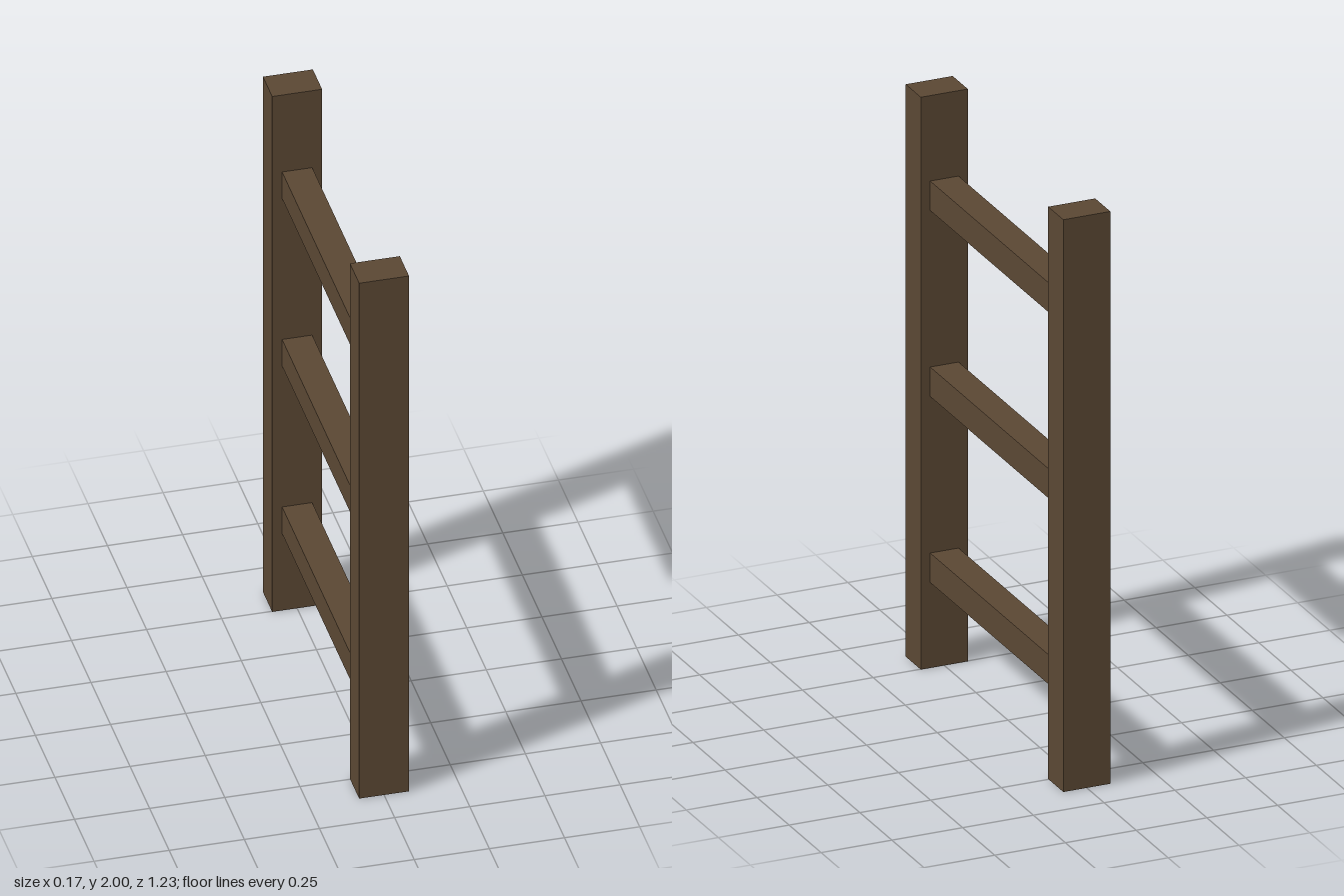
import * as THREE from 'three';

export function createModel() {
  const model = new THREE.Group();
  model.name = 'ladder';

  const wood = new THREE.MeshStandardMaterial({ color: 0x5a4733 });
  wood.name = 'dark brown wood';

  const addBeam = (name, width, height, depth, y, z) => {
    const beam = new THREE.Mesh(new THREE.BoxGeometry(width, height, depth), wood);
    beam.name = name;
    beam.position.set(0, y, z);
    model.add(beam);
  };

  // Two upright rails, front and back
  const railDepth = 0.118;
  const railZ = 0.556;
  addBeam('frontRail', 0.166, 2, railDepth, 1, railZ);
  addBeam('backRail', 0.166, 2, railDepth, 1, -railZ);

  // Three rungs spanning the gap between the rails
  const rungLength = 2 * railZ - railDepth;
  ['lowerRung', 'middleRung', 'upperRung'].forEach((name, i) => {
    addBeam(name, 0.1, 0.103, rungLength, 0.35 + i * 0.65, 0);
  });

  return model;
}
